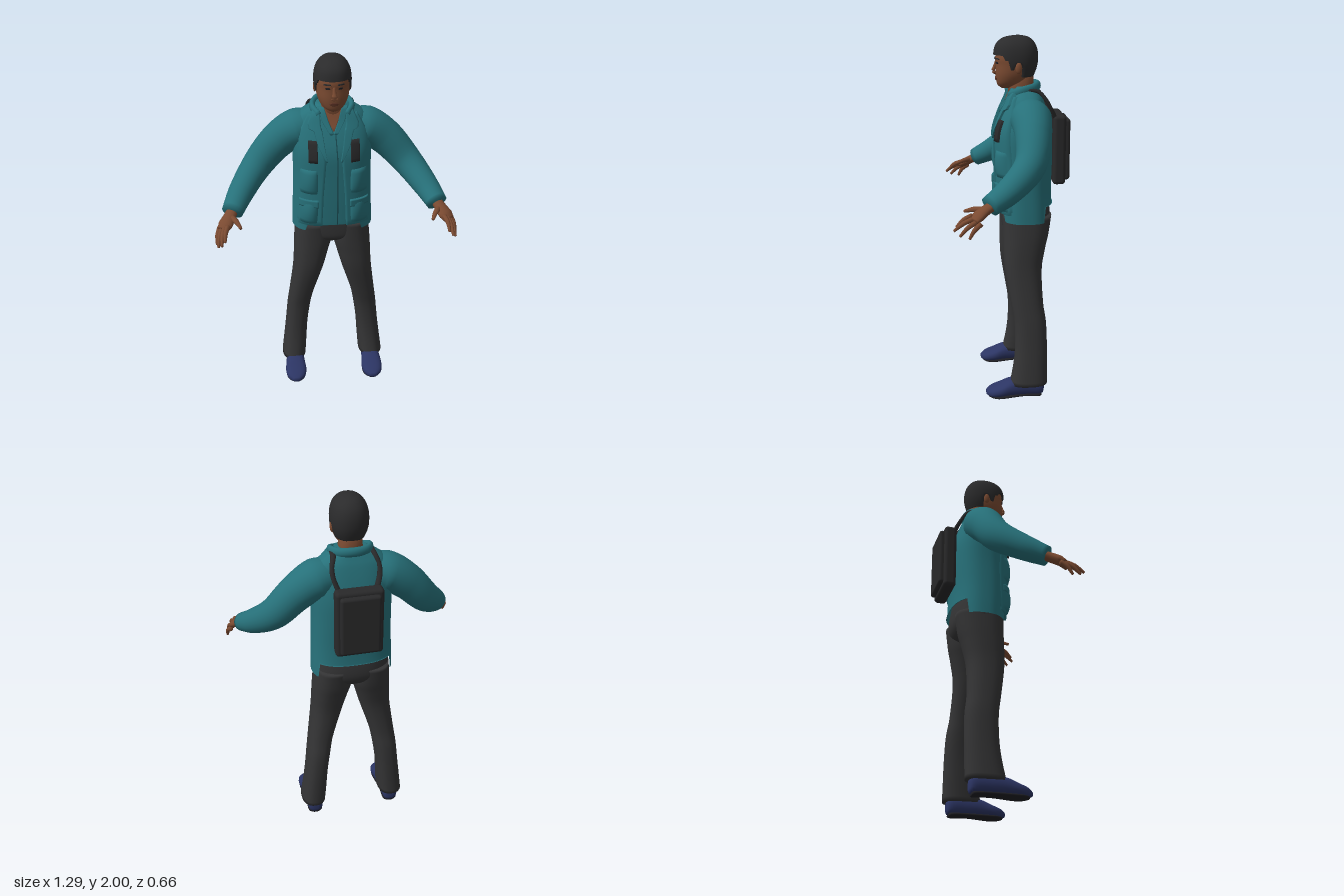
import * as THREE from 'three';
import { RoundedBoxGeometry } from 'three/addons/geometries/RoundedBoxGeometry.js';

const V = (x, y, z) => new THREE.Vector3(x, y, z);
const mat = (name, color, side = THREE.FrontSide) => {
  const m = new THREE.MeshStandardMaterial({ color, side });
  m.name = name;
  return m;
};

function add(parent, name, geometry, material) {
  const m = new THREE.Mesh(geometry, material);
  m.name = name;
  parent.add(m);
  return m;
}

// Surface through closed rings of equal point count
function skin(rings, capStart = true, capEnd = true) {
  const n = rings[0].length, pts = rings.flat(), idx = [];
  for (let i = 0; i < rings.length - 1; i++) for (let j = 0; j < n; j++) {
    const a = i * n + j, b = i * n + (j + 1) % n;
    idx.push(a, b, a + n, b, b + n, a + n);
  }
  const cap = (ring, base, flip) => {
    const c = pts.length;
    pts.push(ring.reduce((s, p) => s.add(p), V(0, 0, 0)).divideScalar(n));
    for (let j = 0; j < n; j++) {
      const a = base + j, b = base + (j + 1) % n;
      idx.push(c, flip ? b : a, flip ? a : b);
    }
  };
  if (capStart) cap(rings[0], 0, true);
  if (capEnd) cap(rings[rings.length - 1], (rings.length - 1) * n, false);
  const g = new THREE.BufferGeometry().setFromPoints(pts);
  g.setIndex(idx);
  g.computeVertexNormals();
  return g;
}

// Smoothly subdivide the rows of a profile
function dense(rows, k = 4) {
  const out = [], at = i => rows[Math.min(Math.max(i, 0), rows.length - 1)];
  for (let i = 0; i < rows.length - 1; i++) for (let s = 0; s < k; s++) {
    const t = s / k;
    out.push(rows[i].map((p, c) => {
      const a = at(i - 1)[c], q = at(i + 1)[c], d = at(i + 2)[c];
      return p + 0.5 * t * (q - a + t * (2 * a - 5 * p + 4 * q - d + t * (3 * (p - q) + d - a)));
    }));
  }
  out.push(rows[rows.length - 1]);
  return out;
}

const rounded = (t, p) => Math.sign(t) * Math.abs(t) ** (2 / p);

// Stack of rounded sections, top to bottom: [y, x0, x1, zFront, zBack]
function stack(rows, { p = 2.3, n = 32, hem, top = true, bottom = true } = {}) {
  return skin(rows.map(([y, x0, x1, zf, zb]) => Array.from({ length: n }, (_, j) => {
    const a = j / n * Math.PI * 2, c = rounded(Math.cos(a), p), s = rounded(Math.sin(a), p);
    return V((x0 + x1) / 2 + (x1 - x0) / 2 * c, hem ? Math.max(y, hem(s)) : y, (zf + zb) / 2 + (zf - zb) / 2 * s);
  })), top, bottom);
}
const sym = rows => rows.map(([y, w, zf, zb]) => [y, -w, w, zf, zb]);

// Tapered tube with an oval section along a curve
function sweep(points, radii, n = 14, steps = 16) {
  const curve = new THREE.CatmullRomCurve3(points.map(p => V(...p)));
  return skin(Array.from({ length: steps + 1 }, (_, i) => {
    const u = i / steps, f = u * (radii.length - 1), k = Math.min(Math.floor(f), radii.length - 2);
    const r = [0, 1].map(c => THREE.MathUtils.lerp(radii[k][c], radii[k + 1][c], f - k));
    const T = curve.getTangent(u), U = V(0, 1, 0).cross(T).normalize(), W = T.clone().cross(U);
    return Array.from({ length: n }, (_, j) => {
      const a = j / n * Math.PI * 2;
      return curve.getPoint(u).addScaledVector(U, r[0] * Math.cos(a)).addScaledVector(W, r[1] * Math.sin(a));
    });
  }));
}

// Front surface depth of a stack at x, y
function frontZ(rows, x, y, p) {
  let i = 0;
  while (i < rows.length - 2 && rows[i + 1][0] > y) i++;
  const t = THREE.MathUtils.clamp((rows[i][0] - y) / (rows[i][0] - rows[i + 1][0]), 0, 1);
  const [, , w, zf, zb] = rows[i].map((v, c) => THREE.MathUtils.lerp(v, rows[i + 1][c], t));
  return (zf + zb) / 2 + (zf - zb) / 2 * Math.max(0, 1 - Math.abs(x / w) ** p) ** (1 / p);
}

// Raised patch following the front of a stack, rows [y, x0, x1]; soft = puffed like a cushion
function patch(base, p, rows, off, soft = false) {
  const k = 6, nx = 12, lines = [];
  rows.slice(0, -1).forEach((r, i) => {
    for (let s = 0; s < k; s++) lines.push(r.map((v, c) => THREE.MathUtils.lerp(v, rows[i + 1][c], s / k)));
  });
  lines.push(rows[rows.length - 1]);
  lines.unshift(lines[0]);
  lines.push(lines[lines.length - 1]);
  const pts = [], idx = [], last = lines.length - 1;
  lines.forEach(([y, x0, x1], i) => {
    for (let j = 0; j <= nx; j++) {
      const u = THREE.MathUtils.clamp((j - 1) / (nx - 2), 0, 1), x = x0 + (x1 - x0) * u;
      const edge = i === 0 || i === last || j === 0 || j === nx;
      const puff = soft ? Math.sqrt(Math.sin(Math.PI * u) * Math.sin(Math.PI * i / last) + 1e-9) : 1;
      pts.push(V(x, y, frontZ(base, x, y, p) + (edge ? -0.004 : off * puff)));
      if (i < last && j < nx) {
        const a = i * (nx + 1) + j, b = a + nx + 1;
        idx.push(a, b, a + 1, a + 1, b, b + 1);
      }
    }
  });
  const g = new THREE.BufferGeometry().setFromPoints(pts);
  g.setIndex(idx);
  g.computeVertexNormals();
  return g;
}

export function createModel() {
  const root = new THREE.Group();
  root.name = 'standingMan';
  const teal = mat('jacketTeal', 0x27717a, THREE.DoubleSide), seam = mat('seamTeal', 0x1a4c53);
  const brown = mat('skinBrown', 0x7a4a31), lip = mat('lipBrown', 0x5e3426);
  const hairMat = mat('hairBlack', 0x2b2b2c, THREE.DoubleSide), charcoal = mat('trouserCharcoal', 0x343435);
  const black = mat('packBlack', 0x29292a), navy = mat('shoeNavy', 0x2c3564), sole = mat('soleBlack', 0x1f1f24);

  // Jacket body with a stepped hem
  const P = 2.5;
  const torso = dense(sym([[1.735, .08, -.03, -.155], [1.70, .14, -.015, -.172], [1.66, .185, .0, -.19],
    [1.58, .21, .035, -.215], [1.48, .215, .065, -.237], [1.35, .213, .066, -.24], [1.2, .217, .064, -.236],
    [1.08, .222, .06, -.24], [1.01, .224, .057, -.243]]));
  add(root, 'jacketBody', stack(torso, { p: P, n: 72, bottom: false,
    hem: s => s > .82 ? 1.055 : s < -.6 ? 1.10 : 1.012 }), teal);
  add(root, 'openNeckline', patch(torso, P, [[1.72, -.055, .055], [1.61, -.003, .003]], .011), brown);
  add(root, 'zip', patch(torso, P, [[1.6, .008, .013], [1.45, .016, .022], [1.06, .016, .022]], .005), seam);
  add(root, 'collar', sweep([[-.075, 1.69, -.0], [-.105, 1.715, -.06], [-.075, 1.73, -.135], [0, 1.735, -.16],
    [.075, 1.73, -.135], [.105, 1.715, -.06], [.075, 1.69, -.0]],
  [[.014, .022], [.018, .026], [.018, .026], [.014, .022]], 12, 30), teal);

  // Hips
  add(root, 'trouserHips', stack(dense(sym([[1.18, .19, .04, -.21], [1.08, .2, .04, -.228], [1.0, .207, .038, -.228],
    [.95, .17, .03, -.2], [.92, .08, .0, -.16]])), { p: 2.4 }), charcoal);

  // Head and neck
  add(root, 'neck', stack(sym([[1.82, .06, -.01, -.14], [1.74, .062, -.002, -.138], [1.64, .085, .0, -.15]])), brown);
  const H = 2.2;
  const head = dense(sym([[1.97, .045, .0, -.1], [1.93, .08, .052, -.14], [1.885, .089, .068, -.15],
    [1.85, .089, .066, -.148], [1.80, .084, .067, -.13], [1.76, .068, .062, -.10], [1.737, .047, .054, -.07],
    [1.722, .02, .035, -.03]]));
  add(root, 'head', stack(head, { p: H }), brown);
  add(root, 'nose', sweep([[0, 1.868, .062], [0, 1.835, .072], [0, 1.812, .078], [0, 1.798, .064]],
    [[.008, .006], [.01, .008], [.018, .011], [.014, .006]], 10, 10), brown);
  add(root, 'mouth', patch(head, H, [[1.783, -.012, .012], [1.775, -.026, .026], [1.766, -.012, .012]], .004), lip);
  const hair = dense(sym([[2.0, .012, -.035, -.07], [1.988, .052, .025, -.115], [1.955, .083, .064, -.147],
    [1.91, .097, .077, -.161], [1.86, .099, .076, -.161], [1.82, .093, .07, -.152], [1.785, .08, .06, -.138]]));
  add(root, 'hair', stack(hair, { p: H, n: 48,
    hem: s => s > .6 ? 1.9 : s > .38 ? 1.875 : s > .12 ? 1.825 : s > -.25 ? 1.865 : 1.785 }), hairMat);

  // Backpack
  const pack = new THREE.Group();
  pack.name = 'backpack';
  root.add(pack);
  add(pack, 'packBody', new RoundedBoxGeometry(.254, .38, .07, 3, .02), black).position.set(0, 1.395, -.27);
  add(pack, 'packOuterPanel', new RoundedBoxGeometry(.212, .335, .05, 3, .015), black).position.set(0, 1.395, -.305);

  // Everything that comes in pairs
  for (const s of [1, -1]) {
    const g = new THREE.Group();
    g.name = s > 0 ? 'leftSide' : 'rightSide';
    g.scale.x = s;
    root.add(g);

    // Jacket front, lapel, shirt collar and pockets
    add(g, 'jacketFront', patch(torso, P, [[1.69, .085, .13], [1.6, .08, .18], [1.46, .042, .19], [1.25, .058, .195],
      [1.057, .066, .195]], .012), teal);
    add(g, 'lapel', patch(torso, P, [[1.715, .07, .105], [1.65, .068, .135], [1.625, .064, .13], [1.615, .06, .105],
      [1.54, .05, .085], [1.455, .036, .042]], .024), teal);
    add(g, 'shirtCollar', patch(torso, P, [[1.725, .046, .078], [1.66, .026, .06], [1.595, .0, .02]], .018), teal);
    add(g, 'upperPocket', patch(torso, P, [[1.40, .08, .19], [1.26, .08, .195]], .032, true), teal);
    add(g, 'lowerPocket', patch(torso, P, [[1.215, .08, .195], [1.075, .085, .2]], .034, true), teal);
    add(g, 'pocketFlap', patch(torso, P, [[1.22, .085, .19], [1.18, .085, .19]], .026), teal);
    add(g, 'chestTab', patch(torso, P, [[1.565, .088, .136], [1.45, .088, .136]], .024), black);
    add(g, 'packStrap', sweep([[.1, 1.57, -.245], [.12, 1.63, -.216], [.122, 1.675, -.19], [.108, 1.712, -.155],
      [.1, 1.722, -.1]], [[.016, .01], [.012, .01], [.016, .01]], 8), black);

    // Sleeve and hand
    add(g, 'sleeve', sweep([[.1, 1.585, -.1], [.185, 1.58, -.105], [.29, 1.51, -.105], [.405, 1.385, -.075],
      [.50, 1.28, .04], [.552, 1.217, .145]],
    [[.09, .09], [.11, .105], [.095, .098], [.082, .085], [.07, .068], [.058, .052]], 24, 30), teal);
    const hand = new THREE.Group();
    hand.name = 'hand';
    g.add(hand);
    add(hand, 'palm', sweep([[.545, 1.225, .12], [.565, 1.203, .165], [.588, 1.178, .205], [.603, 1.16, .228]],
      [[.03, .024], [.034, .025], [.042, .024], [.034, .016]]), brown);
    [[.592, 1.13, .312], [.61, 1.115, .325], [.629, 1.092, .297], [.638, 1.08, .25]].forEach((tip, i) => {
      const t = i / 3, k = [.576 + .046 * t, 1.182 - .03 * t, .232 - .042 * t];
      const mid = k.map((v, c) => (v + tip[c]) / 2 + [.004, .008, .004][c]);
      add(hand, 'finger', sweep([k, mid, tip], [[.014, .014], [.0125, .0125], [.007, .007]], 8, 8), brown);
    });
    add(hand, 'thumb', sweep([[.56, 1.203, .17], [.53, 1.2, .22], [.507, 1.185, .268]],
      [[.018, .018], [.015, .014], [.008, .008]], 8, 8), brown);

    // Trouser leg
    add(g, 'trouserLeg', stack(dense([[1.04, .0, .205, .037, -.23], [.93, .0, .215, .036, -.214],
      [.85, .02, .22, .035, -.195], [.73, .053, .227, .03, -.175], [.55, .108, .25, .0, -.18],
      [.44, .13, .265, -.018, -.195], [.31, .148, .278, -.021, -.2], [.2, .156, .291, -.012, -.2],
      [.08, .165, .306, .01, -.2]]), { p: 2.4 }), charcoal);

    // Shoe: sections from heel to toe [z, half width, bottom, top]
    const shoe = (rows) => skin(dense(rows).map(([z, w, y0, y1]) => Array.from({ length: 20 }, (_, j) => {
      const a = j / 10 * Math.PI;
      return V(.232 + w * rounded(Math.cos(a), 2.5), (y0 + y1) / 2 + (y1 - y0) / 2 * rounded(Math.sin(a), 2.5), z);
    })));
    add(g, 'shoe', shoe([[-.182, .015, .03, .07], [-.165, .042, .01, .1], [-.09, .048, .012, .11], [-.0, .056, .012, .105],
      [.065, .062, .008, .078], [.115, .05, .008, .06], [.145, .018, .018, .042]]), navy);
    add(g, 'shoeSole', shoe([[-.17, .02, 0, .02], [-.15, .042, 0, .022], [-.06, .042, .004, .024], [.06, .057, 0, .02],
      [.105, .045, 0, .02], [.13, .02, .004, .02]]), sole);

    // Ear, eye and brow
    const ear = add(g, 'ear', new THREE.SphereGeometry(1, 12, 10), brown);
    ear.scale.set(.01, .03, .018);
    ear.position.set(.091, 1.835, -.05);
    add(g, 'eye', patch(head, H, [[1.864, .026, .04], [1.859, .02, .046], [1.854, .026, .04]], .003), sole);
    add(g, 'eyebrow', patch(head, H, [[1.884, .02, .05], [1.877, .016, .056]], .004), hairMat);
  }
  return root;
}
